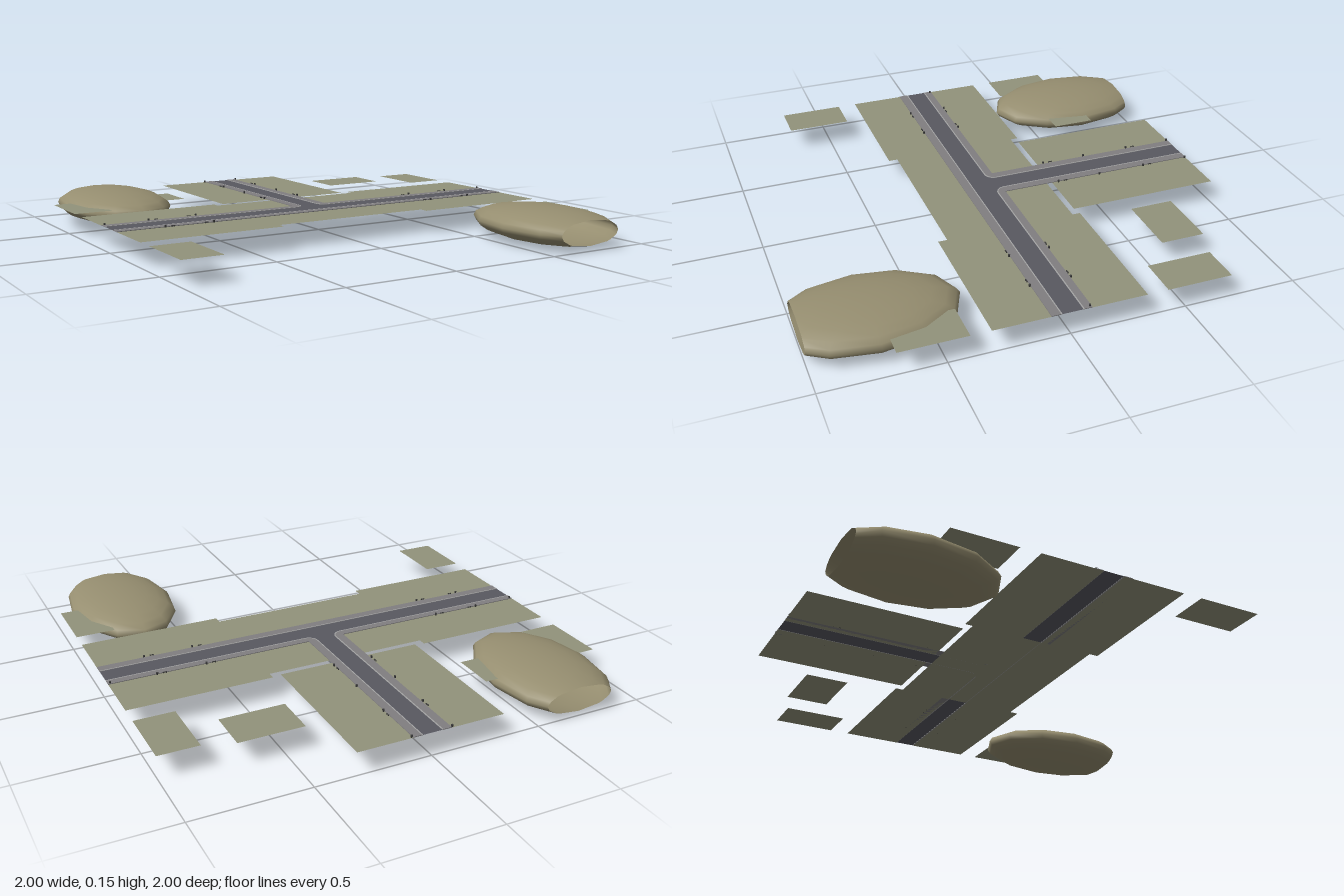
import * as THREE from 'three';

const mat = (color, side = THREE.FrontSide) => new THREE.MeshStandardMaterial({ color, side });
const grass = mat(0x92937b, THREE.DoubleSide);
const earth = mat(0x968e70, THREE.DoubleSide);
const asphalt = mat(0x585860, THREE.DoubleSide);
const paving = mat(0x807e80);
const kerbstone = mat(0xa5a5a5);
const metal = mat(0x3c3c3c);

const GROUND = 0.105, ROAD = 0.106, WALK = 0.1078;

function add(parent, name, geometry, material) {
  const mesh = new THREE.Mesh(geometry, material);
  mesh.name = name;
  parent.add(mesh);
  return mesh;
}

// Flat or thin outline lying on the ground; points are [x, z]
function slab(points, y, height = 0) {
  const shape = new THREE.Shape(points.map(([x, z]) => new THREE.Vector2(x, -z)));
  const geometry = height
    ? new THREE.ExtrudeGeometry(shape, { depth: height, bevelEnabled: false })
    : new THREE.ShapeGeometry(shape);
  return geometry.rotateX(-Math.PI / 2).translate(0, y, 0);
}

const rect = (x0, x1, z0, z1) => [[x0, z0], [x1, z0], [x1, z1], [x0, z1]];

// Cuts a geometry open at the plane z = limit, keeping the side below it
function clipZ(source, limit) {
  const geo = source.toNonIndexed();
  const p = geo.attributes.position, n = geo.attributes.normal;
  const positions = [], normals = [];
  for (let i = 0; i < p.count; i += 3) {
    const corners = [0, 1, 2].map(k => ({
      p: new THREE.Vector3().fromBufferAttribute(p, i + k),
      n: new THREE.Vector3().fromBufferAttribute(n, i + k),
    }));
    const kept = [];
    corners.forEach((a, k) => {
      const b = corners[(k + 1) % 3];
      if (a.p.z <= limit) kept.push(a);
      if ((a.p.z <= limit) !== (b.p.z <= limit)) {
        const t = (limit - a.p.z) / (b.p.z - a.p.z);
        kept.push({ p: a.p.clone().lerp(b.p, t), n: a.n.clone().lerp(b.n, t).normalize() });
      }
    });
    for (let k = 1; k + 1 < kept.length; k++) {
      for (const v of [kept[0], kept[k], kept[k + 1]]) {
        positions.push(...v.p.toArray());
        normals.push(...v.n.toArray());
      }
    }
  }
  const out = new THREE.BufferGeometry();
  out.setAttribute('position', new THREE.Float32BufferAttribute(positions, 3));
  out.setAttribute('normal', new THREE.Float32BufferAttribute(normals, 3));
  return out;
}

// Inner edge of a corner pavement, running down the side street and round the bend
function cornerEdge(s, offset) {
  const x = 0.043 + offset, z = -0.049 - offset, r = 0.045 - offset;
  const points = [[s * x, -1]];
  for (let i = 0; i <= 6; i++) {
    const a = (i / 6) * Math.PI / 2;
    points.push([s * (x + r - r * Math.cos(a)), z - r + r * Math.sin(a)]);
  }
  points.push([s, z]);
  return points;
}

// Litter bin with a bench beside it; the bench lies along local x
function streetFurniture(parent, x, z, angle, benchSide) {
  const group = new THREE.Group();
  group.name = 'streetFurniture';
  add(group, 'bin', new THREE.CylinderGeometry(0.005, 0.004, 0.01, 8), metal).position.y = 0.005;
  if (benchSide) {
    add(group, 'benchSeat', new THREE.BoxGeometry(0.018, 0.002, 0.005), metal)
      .position.set(benchSide * 0.034, 0.005, 0);
    for (const e of [-1, 1]) {
      add(group, 'benchLeg', new THREE.BoxGeometry(0.002, 0.005, 0.004), metal)
        .position.set(benchSide * 0.034 + e * 0.006, 0.0025, 0);
    }
  }
  group.position.set(x, GROUND, z);
  group.rotation.y = angle;
  parent.add(group);
}

export function createModel() {
  const model = new THREE.Group();
  model.name = 'streetJunction';

  // Lawns along the streets
  const ground = new THREE.Group();
  ground.name = 'ground';
  model.add(ground);
  add(ground, 'middleLawn', slab(rect(-0.365, 0.365, -0.29, 0.285), GROUND), grass);
  for (const s of [-1, 1]) {
    add(ground, 'backLawn', slab(rect(s * 0.365, s, -0.325, -0.05), GROUND), grass);
    add(ground, 'frontLawn', slab(rect(s * 0.365, s, 0.045, 0.325), GROUND), grass);
    add(ground, 'sideStreetLawn', slab(rect(s * 0.045, s * 0.325, -1, -0.315), GROUND), grass);
    // Separate plots
    add(ground, 'frontPlot', slab(rect(s * 0.825, s, 0.41, 0.695), GROUND), grass);
    add(ground, 'backPlot', slab(rect(s * 0.825, s, -0.70, -0.415), GROUND), grass);
    add(ground, 'innerPlot', slab(rect(s * 0.413, s * 0.697, -0.745, -0.55), GROUND), grass);
  }

  // Roadway with wider corners under the bends
  add(model, 'road', slab([
    [-1, 0.042], [1, 0.042], [1, -0.051], [0.084, -0.051], [0.045, -0.09], [0.045, -1],
    [-0.045, -1], [-0.045, -0.09], [-0.084, -0.051], [-1, -0.051],
  ], ROAD), asphalt);

  // Pavements and kerbs
  add(model, 'frontPavement', slab(rect(-1, 1, 0.044, 0.083), GROUND, WALK - GROUND), paving);
  add(model, 'frontKerb', slab(rect(-1, 1, 0.039, 0.044), GROUND, WALK - GROUND), kerbstone);
  for (const s of [-1, 1]) {
    add(model, 'cornerPavement', slab(
      [...cornerEdge(s, 0.005), [s, -0.087], [s * 0.085, -0.087], [s * 0.085, -1]],
      GROUND, WALK - GROUND), paving);
    add(model, 'cornerKerb', slab(
      [...cornerEdge(s, 0), ...cornerEdge(s, 0.005).reverse()],
      GROUND, WALK - GROUND), kerbstone);
  }

  // Bins and benches lining the pavements
  for (const s of [-1, 1]) {
    for (const z of [-0.09, 0.087]) {
      streetFurniture(model, s * 0.57, z, 0, -1);
      streetFurniture(model, s * 0.79, z, 0, s < 0 ? 1 : -1);
    }
    for (const z of [-0.345, -0.55, -0.775]) {
      streetFurniture(model, s * 0.09, z, Math.PI / 2, z < -0.7 || z > -0.4 ? 1 : 0);
    }
    streetFurniture(model, s * 0.09, -0.994, 0, 0);
    streetFurniture(model, s * 0.99, -0.08, 0, 0);
  }

  // Hollow earth mounds, cut open at the outer edge
  const mound = clipZ(
    new THREE.SphereGeometry(1, 12, 12).scale(0.24, 0.077, 0.385).translate(0.698, 0.081, 0.73), 1);
  add(model, 'frontMound', mound, earth);
  add(model, 'backMound', mound, earth).rotation.y = Math.PI;

  return model;
}
